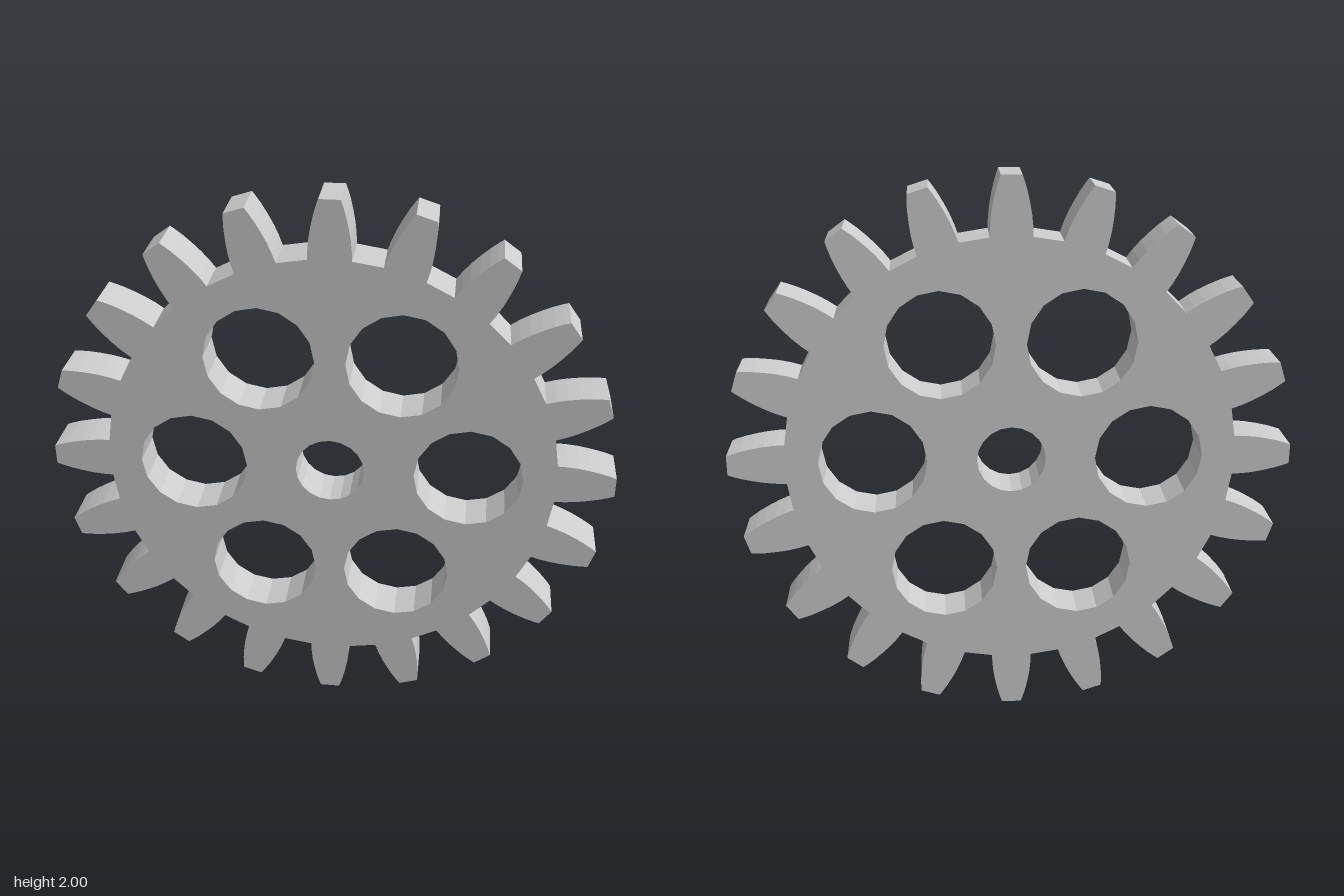
import * as THREE from 'three';

const TEETH = 20, SPOKE_HOLES = 6, THICKNESS = 0.16;

// One tooth flank: [distance along the tooth axis, half width]
const FLANK = [[0.795, 0.073], [0.83, 0.072], [0.87, 0.068], [0.91, 0.061], [0.95, 0.052], [0.98, 0.043], [1.0, 0.036]];

// Regular polygon used as a round hole
function hole(x, y, radius, sides) {
  const points = [];
  for (let i = 0; i < sides; i++) {
    const a = (i / sides) * Math.PI * 2;
    points.push(new THREE.Vector2(x + radius * Math.cos(a), y + radius * Math.sin(a)));
  }
  return new THREE.Path(points);
}

export function createModel() {
  const group = new THREE.Group();
  group.name = 'spurGear';

  // Toothed outline, counter-clockwise: up one flank and down the other
  const profile = [
    ...FLANK.map(([r, w]) => new THREE.Vector2(r, -w)),
    ...[...FLANK].reverse().map(([r, w]) => new THREE.Vector2(r, w)),
  ];
  const origin = new THREE.Vector2();
  const outline = [];
  for (let i = 0; i < TEETH; i++) {
    const a = (i / TEETH) * Math.PI * 2;
    outline.push(...profile.map((p) => p.clone().rotateAround(origin, a)));
  }
  const shape = new THREE.Shape(outline);

  // Axle bore and ring of lightening holes
  shape.holes.push(hole(0, 0, 0.122, 20));
  for (let i = 0; i < SPOKE_HOLES; i++) {
    const a = (i / SPOKE_HOLES) * Math.PI * 2;
    shape.holes.push(hole(0.49 * Math.cos(a), 0.49 * Math.sin(a), 0.192, 16));
  }

  const geometry = new THREE.ExtrudeGeometry(shape, { depth: THICKNESS, bevelEnabled: false });
  geometry.translate(0, 1, -THICKNESS / 2);
  const gear = new THREE.Mesh(geometry, new THREE.MeshStandardMaterial({ color: 0xcccccc, flatShading: true }));
  gear.name = 'gearWheel';
  group.add(gear);
  return group;
}
